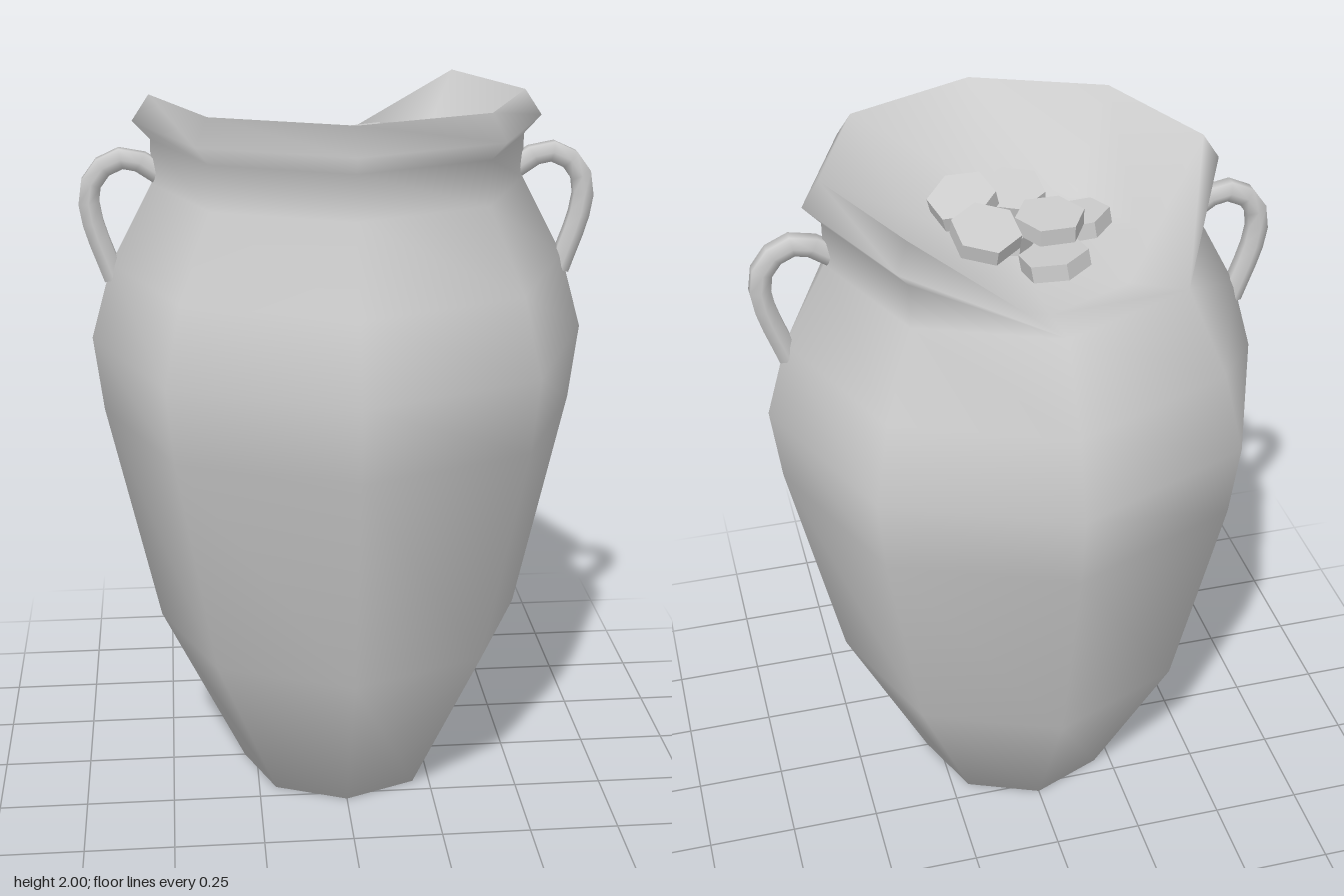
import * as THREE from 'three';
import { mergeVertices } from 'three/addons/utils/BufferGeometryUtils.js';

const V2 = (x, y) => new THREE.Vector2(x, y);
const V3 = (x, y, z) => new THREE.Vector3(x, y, z);

export function createModel() {
  const model = new THREE.Group();
  const smooth = new THREE.MeshStandardMaterial({ color: 0xcccccc, side: THREE.DoubleSide });
  const faceted = new THREE.MeshStandardMaterial({ color: 0xcccccc, flatShading: true });

  const add = (name, geometry, material) => {
    const mesh = new THREE.Mesh(geometry, material);
    mesh.name = name;
    model.add(mesh);
    return mesh;
  };

  // Eight-sided jar: base, belly, neck, flared rim and the hollow inside the mouth
  const profile = [
    V2(0, 0), V2(0.285, 0), V2(0.52, 0.48), V2(0.66, 1.12), V2(0.685, 1.33), V2(0.625, 1.54),
    V2(0.508, 1.76), V2(0.508, 1.88), V2(0.555, 1.93), V2(0.508, 2), V2(0.34, 1.75), V2(0, 1.72),
  ];
  const brokenEdge = 6, innerRing = 10, perColumn = profile.length;
  let jar = new THREE.LatheGeometry(profile, 8);
  const pos = jar.attributes.position;

  // Broken lip: two back columns lose everything above the shoulder
  for (const column of [4, 5]) {
    for (let i = brokenEdge + 1; i < innerRing; i++) {
      const edge = column * perColumn + brokenEdge;
      pos.setXYZ(column * perColumn + i, pos.getX(edge), pos.getY(edge), pos.getZ(edge));
    }
    pos.setY(column * perColumn + innerRing, 1.73);
  }
  jar.deleteAttribute('uv');
  jar.deleteAttribute('normal');
  jar = mergeVertices(jar, 1e-4);
  jar.computeVertexNormals();
  add('jar', jar, smooth);

  // Ear-shaped handles, mirrored
  for (const [name, s] of [['leftHandle', 1], ['rightHandle', -1]]) {
    const path = new THREE.CatmullRomCurve3([
      [0.49, 1.79], [0.565, 1.832], [0.635, 1.81], [0.675, 1.75], [0.672, 1.67], [0.617, 1.5],
    ].map(([x, y]) => V3(s * x, y, 0)));
    add(name, new THREE.TubeGeometry(path, 9, 0.032, 6), smooth);
  }

  // Pile of hexagonal coins: position, then tilt x, turn, tilt z
  const coin = new THREE.CylinderGeometry(0.092, 0.092, 0.045, 6);
  const coins = [
    [-0.06, 1.785, -0.17, 0.12, 0.1, -0.15],
    [0.11, 1.86, -0.125, -0.3, 0.1, 0.05],
    [-0.065, 1.86, -0.1, -0.05, Math.PI / 6, 0],
    [-0.17, 1.79, 0.01, 0.1, 0.3, -0.15],
    [-0.02, 1.835, 0.11, -0.2, 0.05, -0.1],
    [0.125, 1.86, 0.06, -0.25, 0.25, -0.25],
    [0.05, 1.79, -0.02, 0.1, 0.4, 0.1],
    [-0.03, 1.77, 0.08, 0, 0.2, 0],
  ];
  for (const [x, y, z, rx, ry, rz] of coins) {
    const mesh = add('coin', coin, faceted);
    mesh.position.set(x, y, z);
    mesh.rotation.set(rx, ry, rz, 'XZY');
  }
  return model;
}
